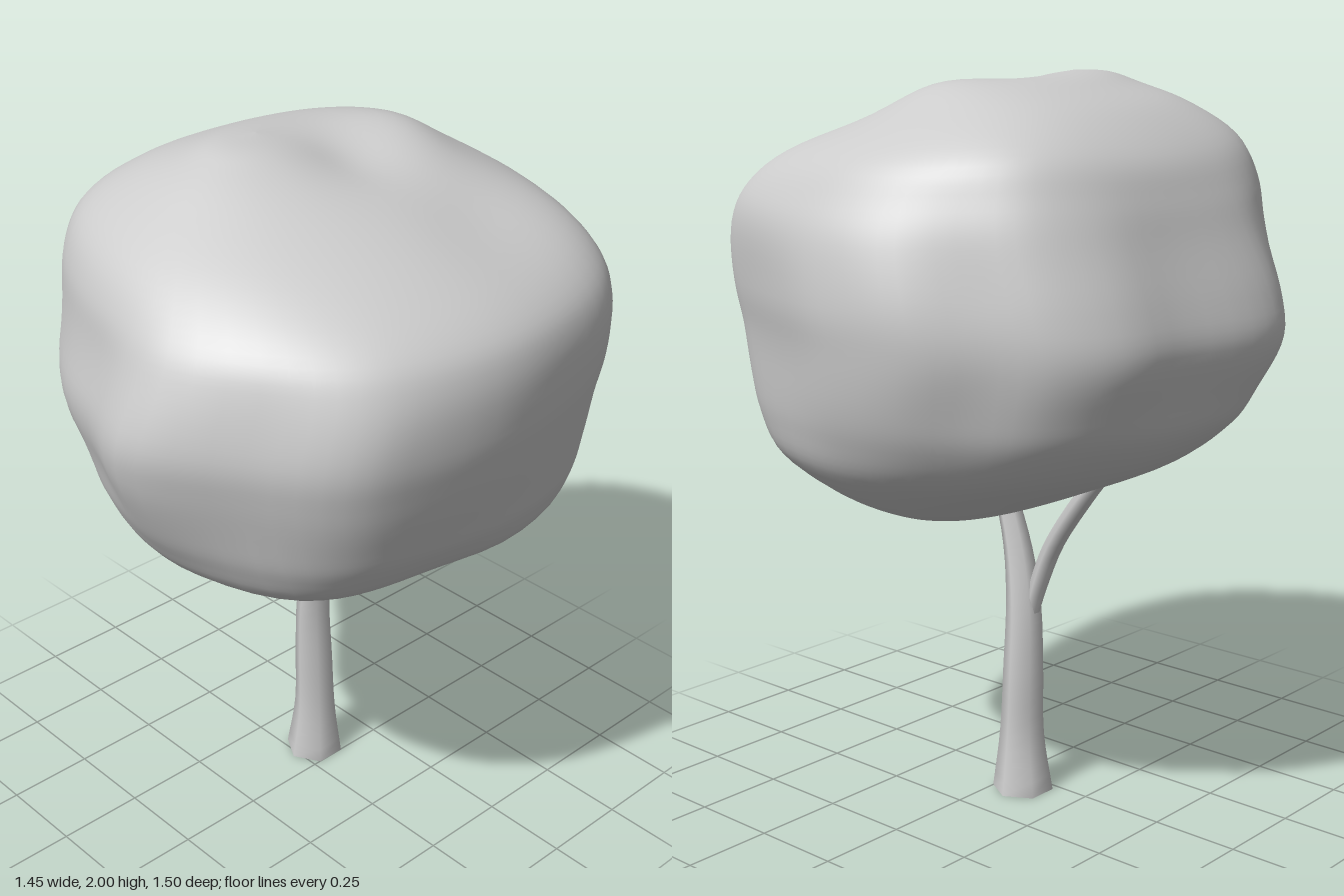
import * as THREE from 'three';

const { lerp, smoothstep } = THREE.MathUtils;
const V = (x, y, z) => new THREE.Vector3(x, y, z);
const curve = (pts, closed = false) => new THREE.CatmullRomCurve3(pts, closed, 'catmullrom');

// Skin a surface over rings: pointAt(t, u), t runs upward, u runs around from +x to +z
function loft(rows, sides, pointAt) {
  const pos = [], index = [];
  for (let i = 0; i <= rows; i++) {
    for (let j = 0; j < sides; j++) {
      pos.push(...pointAt(i / rows, j / sides).toArray());
      if (i === rows) continue;
      const a = i * sides + j, b = i * sides + (j + 1) % sides;
      index.push(a, a + sides, b, b, a + sides, b + sides);
    }
  }
  const g = new THREE.BufferGeometry();
  g.setAttribute('position', new THREE.Float32BufferAttribute(pos, 3));
  g.setIndex(index);
  g.computeVertexNormals();
  return g;
}

// Six-sided tapering limb through [x, y, z, radius] stations, corners on the z axis
function limb(stations, rows) {
  const path = curve(stations.map(([x, y, z]) => V(x, y, z)));
  const radius = curve(stations.map((s) => V(s[3], 0, 0)));
  return loft(rows, 6, (t, u) => {
    const a = u * Math.PI * 2 + Math.PI / 2, r = radius.getPoint(t).x;
    return path.getPoint(t).add(V(Math.cos(a) * r, 0, Math.sin(a) * r));
  });
}

// Crown: [y, xMin, xMax, zMin, zMax] at rising heights
const levels = [
  [0.815, 0.03, 0.03, -0.2, -0.2],
  [0.825, -0.06, 0.11, -0.31, -0.06],
  [0.855, -0.17, 0.22, -0.43, 0.13],
  [0.91, -0.31, 0.4, -0.54, 0.36],
  [1.0, -0.51, 0.58, -0.64, 0.55],
  [1.1, -0.63, 0.645, -0.69, 0.635],
  [1.2, -0.68, 0.67, -0.72, 0.69],
  [1.33, -0.725, 0.7, -0.74, 0.74],
  [1.45, -0.7, 0.72, -0.75, 0.75],
  [1.6, -0.635, 0.715, -0.73, 0.7],
  [1.7, -0.59, 0.66, -0.685, 0.65],
  [1.8, -0.53, 0.5, -0.61, 0.56],
  [1.9, -0.41, 0.26, -0.45, 0.41],
  [1.96, -0.28, 0.1, -0.31, 0.3],
  [1.99, -0.19, 0, -0.1, 0.22],
  [2.0, -0.11, -0.11, 0.1, 0.1],
];

// Crown outline seen from above, as x, z
const outline = [
  [0.72, 0], [0.68, 0.3], [0.6, 0.47], [0.42, 0.6], [0.15, 0.745],
  [-0.1, 0.67], [-0.3, 0.6], [-0.5, 0.46], [-0.68, 0.27], [-0.72, 0.1],
  [-0.68, -0.15], [-0.65, -0.35], [-0.55, -0.5], [-0.4, -0.6], [-0.25, -0.71],
  [-0.08, -0.75], [0.1, -0.73], [0.4, -0.61], [0.55, -0.52], [0.66, -0.33],
];

// Soft dents and swellings: centre, reach, amount
const lumps = [
  [V(0.06, 1.97, -0.08), 0.16, -0.04],
  [V(0.03, 1.95, -0.27), 0.15, 0.025],
  [V(0.42, 1.8, -0.2), 0.18, -0.02],
  [V(-0.38, 1.72, 0.36), 0.24, 0.06],
  [V(0.42, 1.68, -0.45), 0.22, 0.035],
  [V(-0.4, 1.74, -0.42), 0.2, 0.025],
  [V(-0.45, 1.05, 0.4), 0.22, -0.05],
  [V(0.4, 1.08, 0.42), 0.2, 0.025],
  [V(0.42, 1.05, -0.43), 0.2, 0.03],
  [V(0.5, 1.0, 0.08), 0.18, -0.025],
];

function crownGeometry() {
  const xs = curve(levels.map((l) => V(l[1], l[0], l[2])));
  const zs = curve(levels.map((l) => V(l[3], l[0], l[4])));
  const plan = curve(outline.map(([x, z]) => V(x / 0.72, 0, z / 0.75)), true);
  const core = V(0, 1.4, 0);
  return loft(75, 72, (t, u) => {
    const x = xs.getPoint(t), z = zs.getPoint(t), p = plan.getPoint(u);
    // The outline softens to an oval away from the widest level
    p.lerp(p.clone().normalize(), smoothstep(Math.abs(x.y - 1.38), 0.08, 0.45));
    const v = V(lerp(x.x, x.z, (p.x + 1) / 2), x.y, lerp(z.x, z.z, (p.z + 1) / 2));
    const out = v.clone().sub(core).normalize();
    let push = 0;
    for (const [c, reach, amount] of lumps) {
      push += amount * Math.exp(-v.distanceToSquared(c) / (reach * reach));
    }
    return v.addScaledVector(out, push);
  });
}

export function createModel() {
  const tree = new THREE.Group();
  tree.name = 'tree';
  const material = new THREE.MeshStandardMaterial({ color: 0xcccccc, side: THREE.DoubleSide });
  const add = (name, geometry) => {
    const mesh = new THREE.Mesh(geometry, material);
    mesh.name = name;
    tree.add(mesh);
  };

  // Trunk flares at the foot and leans into the crown
  add('trunk', limb([
    [-0.073, 0, -0.065, 0.086],
    [-0.068, 0.17, -0.063, 0.063],
    [-0.07, 0.36, -0.06, 0.057],
    [-0.064, 0.54, -0.052, 0.05],
    [-0.035, 0.7, -0.043, 0.041],
    [0.018, 0.86, -0.038, 0.032],
    [0.06, 0.97, -0.034, 0.026],
  ], 24));

  // Side branch forks off towards -x
  add('branch', limb([
    [-0.085, 0.5, -0.048, 0.02],
    [-0.112, 0.6, -0.046, 0.026],
    [-0.165, 0.73, -0.042, 0.029],
    [-0.262, 0.87, -0.042, 0.031],
    [-0.33, 0.95, -0.042, 0.028],
  ], 16));

  add('crown', crownGeometry());
  return tree;
}
